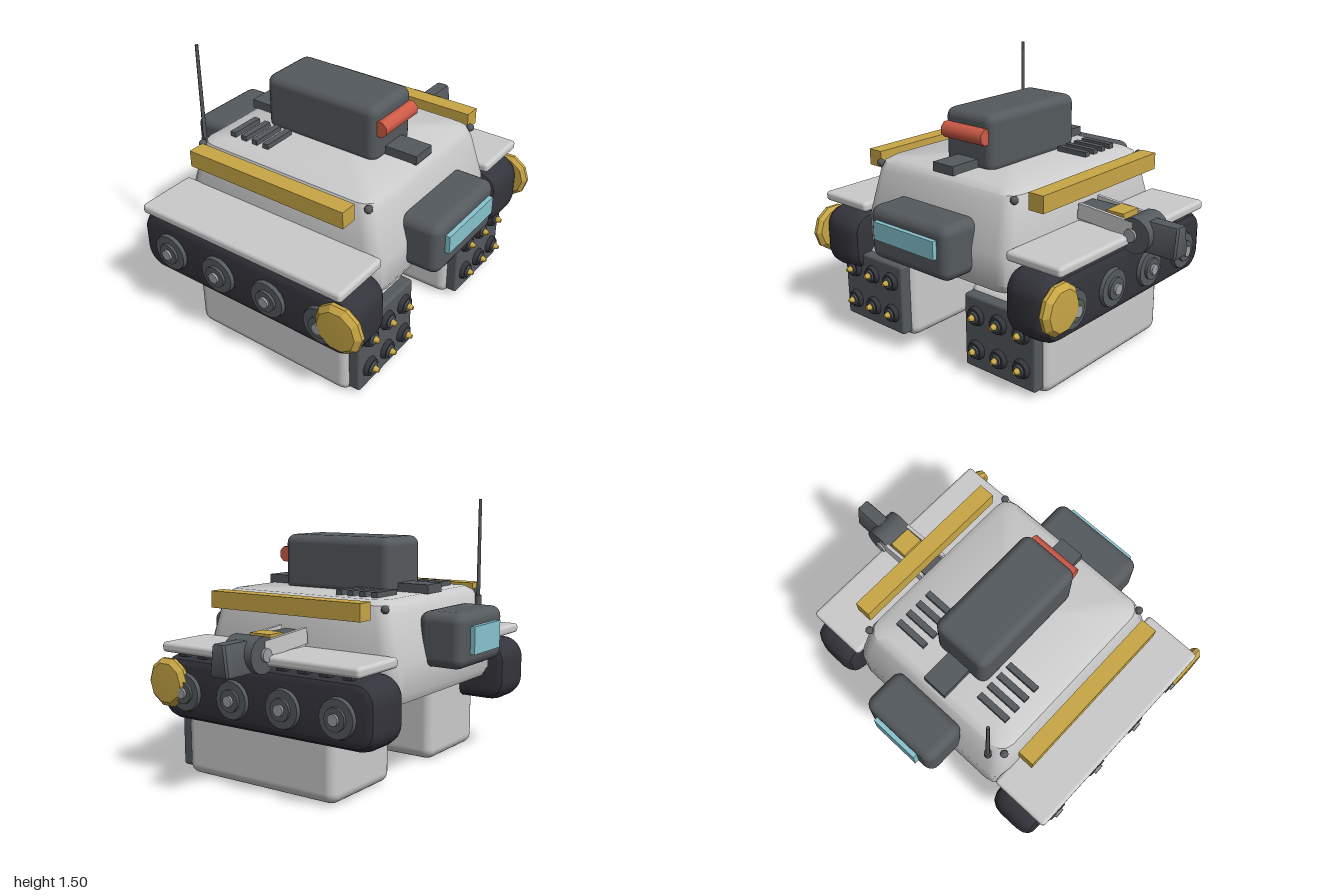
import * as THREE from 'three';
import { toCreasedNormals } from 'three/addons/utils/BufferGeometryUtils.js';
import { RoundedBoxGeometry } from 'three/addons/geometries/RoundedBoxGeometry.js';

const material = (name, color) => {
  const m = new THREE.MeshStandardMaterial({ color });
  m.name = name;
  return m;
};

// Stack of rounded rectangles: each section is [y, halfWidth, halfDepth, cornerRadius]
function loft(sections, steps = 3) {
  const pos = [], idx = [], n = 4 * (steps + 1);
  for (const [y, w, d, r] of sections) {
    for (let q = 0; q < 4; q++) {
      const cx = (q === 0 || q === 3 ? 1 : -1) * (w - r), cz = (q < 2 ? 1 : -1) * (d - r);
      for (let k = 0; k <= steps; k++) {
        const a = (q + k / steps) * Math.PI / 2;
        pos.push(cx + r * Math.cos(a), y, cz + r * Math.sin(a));
      }
    }
  }
  const last = (sections.length - 1) * n, bottom = sections.length * n;
  pos.push(0, sections[0][0], 0, 0, sections[sections.length - 1][0], 0);
  for (let j = 0; j < n; j++) {
    const k = (j + 1) % n;
    for (let i = 0; i < last; i += n) idx.push(i + j, i + n + j, i + k, i + k, i + n + j, i + n + k);
    idx.push(bottom, j, k, bottom + 1, last + k, last + j);
  }
  const g = new THREE.BufferGeometry();
  g.setAttribute('position', new THREE.Float32BufferAttribute(pos, 3));
  g.setIndex(idx);
  return toCreasedNormals(g, 0.6);
}

// Rounded track outline in the side plane, extruded across with a soft bevel
function trackGeometry(length, height, width, radius) {
  const bevel = 0.05, thick = 0.08, x = length / 2 - bevel, y = height / 2 - bevel, r = radius - bevel;
  const s = new THREE.Shape();
  s.moveTo(-x + r, -y);
  s.lineTo(x - r, -y);
  s.absarc(x - r, -y + r, r, -Math.PI / 2, 0);
  s.absarc(x - r, y - r, r, 0, Math.PI / 2);
  s.absarc(-x + r, y - r, r, Math.PI / 2, Math.PI);
  s.absarc(-x + r, -y + r, r, Math.PI, Math.PI * 1.5);
  const g = new THREE.ExtrudeGeometry(s, {
    depth: width - 2 * thick, bevelEnabled: true, bevelSize: bevel, bevelThickness: thick, bevelSegments: 3, curveSegments: 4,
  });
  g.translate(0, 0, thick - width / 2);
  g.rotateY(Math.PI / 2);
  return toCreasedNormals(g, 0.6);
}

export function createModel() {
  const light = material('light armour', 0xcbcbcb);
  const grey = material('dark grey', 0x555a5e);
  const black = material('track black', 0x34343c);
  const gold = material('gold', 0xc9a746);
  const cyan = material('cyan glass', 0x88c4cf);
  const red = material('red visor', 0xd05c48);
  const silver = material('silver', 0x9b9fa2);

  const model = new THREE.Group();
  model.name = 'armouredVehicle';
  const hull = new THREE.Group();
  hull.name = 'vehicle';
  hull.position.x = -0.12;
  model.add(hull);

  const add = (name, geo, mat, x, y, z) => {
    const m = new THREE.Mesh(geo, mat);
    m.name = name;
    m.position.set(x, y, z);
    hull.add(m);
    return m;
  };
  const box = (name, mat, w, h, d, x, y, z) => add(name, new THREE.BoxGeometry(w, h, d), mat, x, y, z);
  const round = (name, mat, w, h, d, r, x, y, z) =>
    add(name, new RoundedBoxGeometry(w, h, d, 3, r), mat, x, y, z);
  // Cylinder along x, y or z; r2 is the radius at the positive end
  const rod = (name, mat, axis, r, r2, len, sides, x, y, z) => {
    const g = new THREE.CylinderGeometry(r2, r, len, sides);
    if (axis === 'x') g.rotateZ(-Math.PI / 2);
    if (axis === 'z') g.rotateX(Math.PI / 2);
    return add(name, g, mat, x, y, z);
  };

  // Main body
  add('body', loft([
    [0.48, 0.48, 0.57, 0.08], [0.495, 0.52, 0.61, 0.09], [0.54, 0.54, 0.63, 0.09], [0.70, 0.54, 0.63, 0.09],
    [0.94, 0.505, 0.565, 0.08], [0.985, 0.49, 0.545, 0.08], [1.01, 0.45, 0.505, 0.07],
  ]), light, 0, 0, 0.008);

  // Front and rear sensor boxes
  round('frontSensorBox', grey, 0.575, 0.295, 0.26, 0.055, 0, 0.697, 0.685);
  box('frontWindow', cyan, 0.44, 0.1, 0.04, 0, 0.725, 0.82);
  round('rearSensorBox', grey, 0.48, 0.29, 0.26, 0.055, 0, 0.795, -0.69);
  box('rearWindow', cyan, 0.29, 0.145, 0.04, 0, 0.798, -0.825);

  // Turret on its roof rail
  box('roofRail', grey, 0.145, 0.05, 1.07, 0, 1.032, 0.007);
  round('turret', grey, 0.345, 0.32, 0.7, 0.05, 0, 1.142, 0.007);
  const visor = rod('turretVisor', red, 'x', 0.046, 0.046, 0.29, 8, 0, 1.187, 0.365);
  visor.rotation.x = Math.PI / 8;

  // Antenna
  rod('antenna', grey, 'y', 0.011, 0.009, 0.55, 8, -0.42, 1.225, -0.575);
  rod('antennaBase', grey, 'y', 0.02, 0.02, 0.06, 8, -0.42, 0.93, -0.575);

  for (const s of [-1, 1]) {
    // Roof vents, side rails and corner bolts
    for (let i = 0; i < 4; i++) box('roofVent', grey, 0.195, 0.035, 0.035, s * 0.292, 1.02, -0.395 + i * 0.073);
    box('sideRail', gold, 0.093, 0.092, 0.97, s * 0.587, 0.966, 0.01);
    for (const z of [-0.525, 0.54]) {
      add('cornerBolt', new THREE.SphereGeometry(0.022, 10, 8), grey, s * 0.488, 0.97, z);
    }

    // Track with cleats and fender
    add('track', trackGeometry(1.4, 0.36, 0.275, 0.12), black, s * 0.688, 0.5, 0.005);
    for (let i = 0; i < 9; i++) box('trackCleat', black, 0.27, 0.025, 0.05, s * 0.688, 0.685, -0.53 + i * 0.133);
    round('fender', light, 0.345, 0.055, 1.275, 0.02, s * 0.692, 0.722, 0.01);

    // Road wheels
    for (const z of [0.51, 0.18, -0.15, -0.48]) {
      rod('wheel', grey, 'x', s > 0 ? 0.115 : 0.1, s > 0 ? 0.1 : 0.115, 0.05, 18, s * 0.82, 0.485, z);
      rod('wheelDish', grey, 'x', 0.06, 0.06, 0.02, 16, s * 0.85, 0.485, z);
      rod('wheelHub', silver, 'x', 0.03, 0.03, 0.02, 12, s * 0.863, 0.485, z);
    }

    // Gold drive disc at the front of each track
    const disc = new THREE.LatheGeometry([[0, -0.035], [0.115, -0.035], [0.137, -0.015], [0.137, 0.005], [0.11, 0.03], [0, 0.033]]
      .map(([r, y]) => new THREE.Vector2(r, y)), 10);
    const drive = add('driveDisc', toCreasedNormals(disc, 0.4), gold, s * 0.843, 0.528, 0.622);
    drive.rotation.z = -s * Math.PI / 2;

    // Launcher pod with six tubes
    const px = s * 0.478;
    round('launcherPod', light, 0.53, 0.475, 1.0, 0.06, px, 0.238, 0.1);
    round('launcherFace', grey, 0.475, 0.41, 0.08, 0.015, px, 0.24, 0.612);
    for (let c = -1; c <= 1; c++) {
      for (const y of [0.148, 0.34]) {
        rod('launchTube', black, 'z', 0.056, 0.045, 0.03, 14, px + c * 0.152, y, 0.662);
        rod('launchRing', grey, 'z', 0.034, 0.03, 0.012, 12, px + c * 0.152, y, 0.68);
        rod('rocketTip', gold, 'z', 0.022, 0.01, 0.035, 10, px + c * 0.152, y, 0.695);
      }
    }
  }

  // Arm on the left side
  for (const z of [-0.075, 0.09]) {
    const cheek = box('armCheek', light, 0.34, 0.085, 0.02, 0.71, 0.795, z);
    cheek.rotation.z = -0.08;
  }
  box('armBeam', light, 0.36, 0.06, 0.15, 0.69, 0.775, 0.008);
  box('armMount', grey, 0.2, 0.06, 0.13, 0.6, 0.8, 0.008);
  box('armGoldBlock', gold, 0.105, 0.07, 0.13, 0.757, 0.81, 0.008);
  rod('armJoint', grey, 'z', 0.095, 0.095, 0.18, 16, 0.89, 0.755, 0.008);
  rod('armJointPin', silver, 'z', 0.035, 0.035, 0.21, 12, 0.875, 0.755, 0.008);
  add('armHand', loft([[0.67, 0.1, 0.055, 0.01], [0.685, 0.105, 0.058, 0.01], [0.82, 0.105, 0.04, 0.01], [0.83, 0.1, 0.035, 0.01]], 1),
    grey, 1.013, 0, 0.008);

  return model;
}
